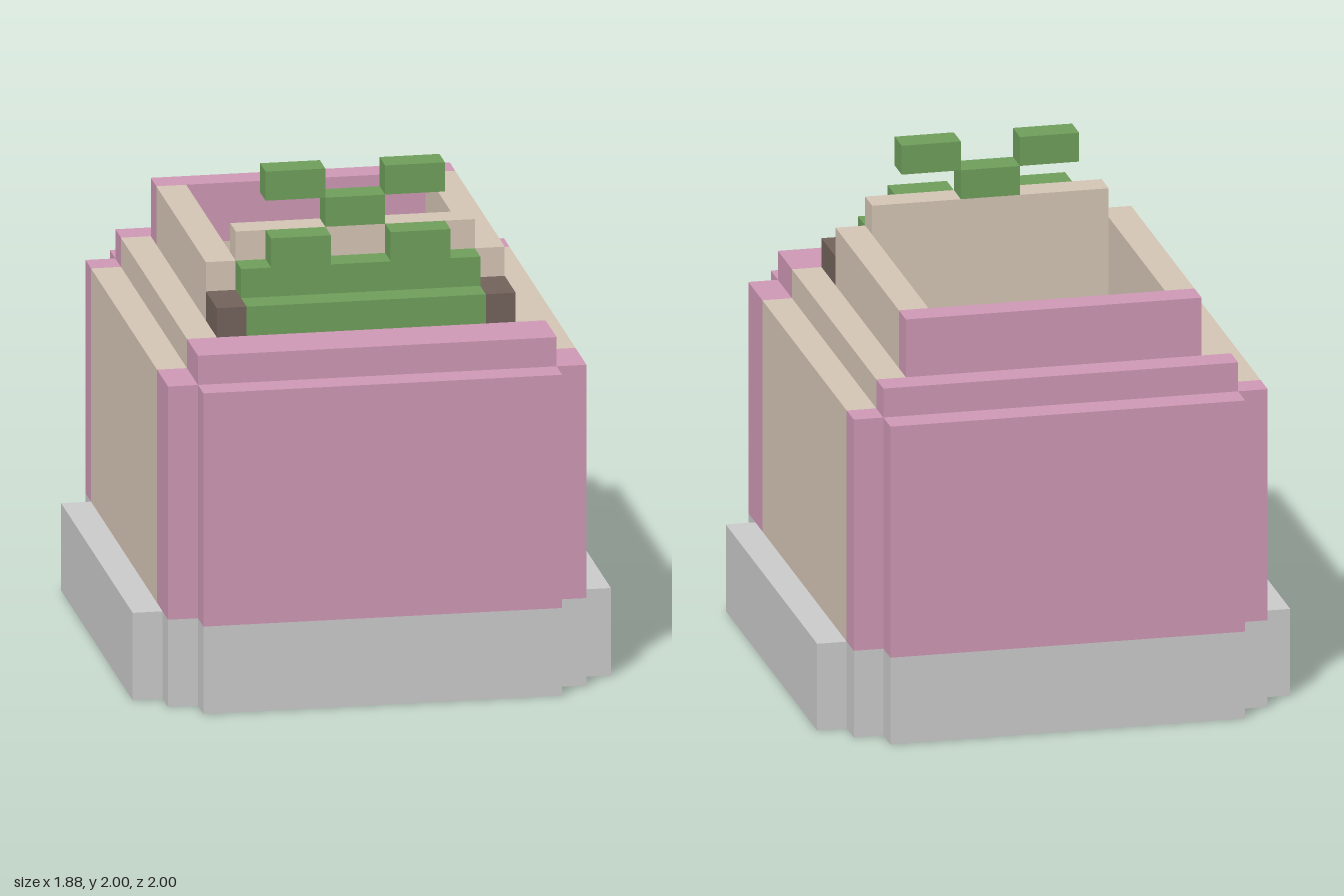
import * as THREE from 'three';

const U = 2 / 17; // one block

const paint = (color) => new THREE.MeshStandardMaterial({ color });

export function createModel() {
  const model = new THREE.Group();
  const pink = paint(0xcf99b5), beige = paint(0xd6c6b6), grey = paint(0xd8d8d4);
  const green = paint(0x70a05c), brown = paint(0x73635b);

  // Box given by its extents in blocks
  function block(name, mat, [x0, x1], [y0, y1], [z0, z1]) {
    const geo = new THREE.BoxGeometry((x1 - x0) * U, (y1 - y0) * U, (z1 - z0) * U);
    const mesh = new THREE.Mesh(geo, mat);
    mesh.position.set((x0 + x1) / 2 * U, (y0 + y1) / 2 * U, (z0 + z1) / 2 * U);
    mesh.name = name;
    model.add(mesh);
  }
  // The same box on both sides of x = 0
  function pair(name, mat, [x0, x1], y, z) {
    block(name + 'Left', mat, [x0, x1], y, z);
    block(name + 'Right', mat, [-x1, -x0], y, z);
  }

  // Foundation with stepped corners
  const quarter = [[8, 6.5], [7, 6.5], [7, 7.5], [6, 7.5], [6, 8.5]];
  const flipped = [...quarter].reverse();
  const outline = [
    ...quarter,
    ...flipped.map(([x, z]) => [-x, z]),
    ...quarter.map(([x, z]) => [-x, -z]),
    ...flipped.map(([x, z]) => [x, -z]),
  ].map(([x, z]) => new THREE.Vector2(x * U, z * U));
  const baseGeo = new THREE.ExtrudeGeometry(new THREE.Shape(outline), { depth: 3 * U, bevelEnabled: false });
  baseGeo.rotateX(-Math.PI / 2);
  const base = new THREE.Mesh(baseGeo, grey);
  base.name = 'foundation';
  model.add(base);

  // Hollow body walls
  const wallY = [3, 11];
  block('frontWall', pink, [-6, 6], wallY, [7.5, 8.5]);
  block('backWall', pink, [-6, 6], wallY, [-8.5, -7.5]);
  pair('frontCorner', pink, [5, 7], wallY, [6.5, 7.5]);
  pair('backCorner', pink, [5, 7], wallY, [-7.5, -6.5]);
  pair('sideWallFrontStrip', pink, [6, 7], wallY, [5.5, 6.5]);
  pair('sideWall', beige, [6, 7], wallY, [-6.5, 5.5]);

  // Roof slab around the opening
  const roofY = [11, 12];
  block('roofFrontEdge', pink, [-6, 6], roofY, [5.5, 7.5]);
  block('roofBackEdge', pink, [-6, 6], roofY, [-7.5, -6.5]);
  block('roofFront', beige, [-6, 6], roofY, [2.5, 5.5]);
  block('roofBack', beige, [-6, 6], roofY, [-6.5, -5.5]);
  pair('roofSide', beige, [4, 6], roofY, [-5.5, 2.5]);

  // Raised rim
  block('rimBack', pink, [-5, 5], [12, 14], [-6.5, -5.5]);
  pair('rimSide', beige, [4, 5], [12, 14], [-5.5, 3.5]);
  block('rimFront', beige, [-4, 4], [12, 15], [2.5, 3.5]);

  // Stepped plant with its stem and two leaves
  pair('planterEnd', brown, [4, 5], [12, 13], [3.5, 5.5]);
  block('plantLowerStep', green, [-4, 4], [12, 13], [3.5, 5.5]);
  block('plantMiddleStep', green, [-4, 4], [13, 14], [3.5, 4.5]);
  pair('plantUpperStep', green, [1, 3], [14, 15], [3.5, 4.5]);
  block('stem', green, [-1, 1], [15, 16], [2.5, 3.5]);
  pair('leaf', green, [1, 3], [16, 17], [2.5, 3.5]);

  return model;
}
